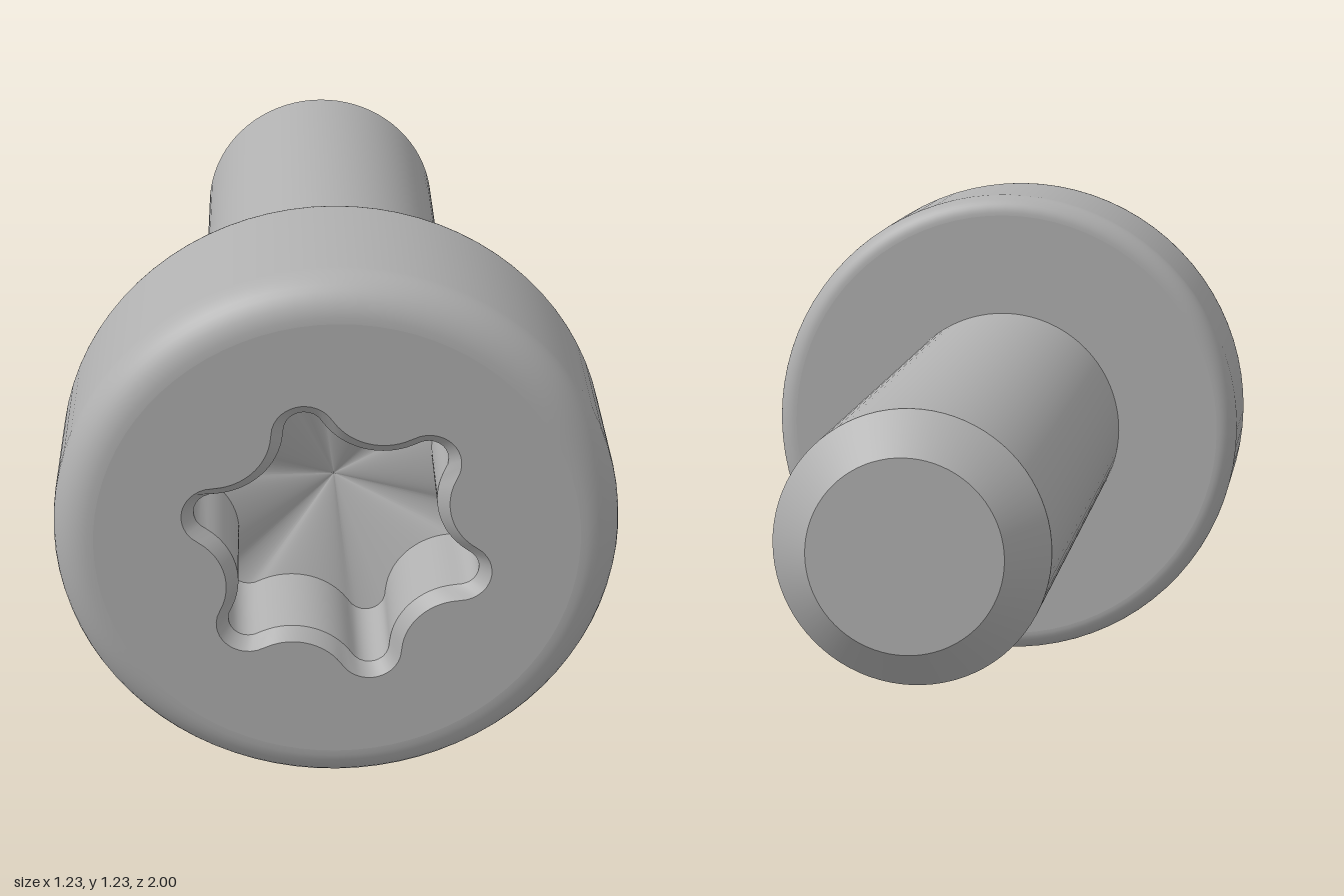
import * as THREE from 'three';

const SEGMENTS = 80;
const AXIS_Y = 0.613;

// Closed six-lobe outline of tangent arcs, shrunk inward by `inset`
function lobeOutline(inset) {
  const a = 0.273, r = 0.07 - inset;          // lobe arcs
  const R = 0.131 + inset, b = 0.384;         // valley arcs
  const k = r / (0.07 + 0.131), half = Math.PI / 6;
  const tx = a + k * (b * Math.cos(half) - a);
  const ty = k * b * Math.sin(half);
  const change = Math.atan2(ty, tx);
  const radius = (phi) => {
    if (phi <= change) {
      return a * Math.cos(phi) + Math.sqrt(Math.max(0, r * r - (a * Math.sin(phi)) ** 2));
    }
    const psi = half - phi;
    return b * Math.cos(psi) - Math.sqrt(Math.max(0, R * R - (b * Math.sin(psi)) ** 2));
  };
  const points = [], perLobe = 32;
  for (let i = 0; i < perLobe * 6; i++) {
    const local = ((i % perLobe) / perLobe) * 2 * half;
    const rad = radius(Math.min(local, 2 * half - local));
    const angle = Math.PI / 4 + (i / perLobe) * 2 * half;
    points.push(new THREE.Vector2(rad * Math.cos(angle), rad * Math.sin(angle)));
  }
  return points;
}

// Inward-facing strip between a front ring and a deeper ring
function band(front, zFront, back, zBack) {
  const n = front.length, position = [], index = [];
  front.forEach((p) => position.push(p.x, p.y, zFront));
  back.forEach((p) => position.push(p.x, p.y, zBack));
  for (let i = 0; i < n; i++) {
    const j = (i + 1) % n;
    index.push(i, j, n + i, j, n + j, n + i);
  }
  const geometry = new THREE.BufferGeometry();
  geometry.setAttribute('position', new THREE.Float32BufferAttribute(position, 3));
  geometry.setIndex(index);
  geometry.computeVertexNormals();
  return geometry;
}

// Surface of revolution about z from [radius, z] pairs, back to front
function turned(profile) {
  const points = profile.map(([r, z]) => new THREE.Vector2(r, z));
  return new THREE.LatheGeometry(points, SEGMENTS).rotateX(Math.PI / 2);
}

// Quarter-round profile points
function fillet(r, z, size, from, to) {
  return Array.from({ length: 11 }, (_, i) => {
    const t = from + (to - from) * i / 10;
    return [r + size * Math.cos(t), z + size * Math.sin(t)];
  });
}

export function createModel() {
  const group = new THREE.Group();
  group.name = 'screw';
  const steel = new THREE.MeshStandardMaterial({ color: 0xb0b0b0 });
  steel.name = 'steel grey';
  const add = (name, geometry) => {
    const mesh = new THREE.Mesh(geometry, steel);
    mesh.name = name;
    mesh.position.y = AXIS_Y;
    group.add(mesh);
  };

  // Head
  const R = 0.613, frontRound = 0.09, backRound = 0.05, headBack = 0.54;
  add('headSide', turned([
    ...fillet(R - backRound, headBack + backRound, backRound, -Math.PI / 2, 0),
    ...fillet(R - frontRound, 1 - frontRound, frontRound, 0, Math.PI / 2),
  ]));
  add('headUnderside', turned([[0.305, headBack], [R - backRound, headBack]]));

  // Front face with the socket opening
  const rim = lobeOutline(0), inner = lobeOutline(0.026);
  const face = new THREE.Shape().absarc(0, 0, R - frontRound, 0, Math.PI * 2);
  face.holes.push(new THREE.Path(rim));
  add('headFace', new THREE.ShapeGeometry(face, SEGMENTS / 2).translate(0, 0, 1));

  // Socket: chamfer, straight wall and shallow conical floor
  const apex = inner.map(() => new THREE.Vector2(0, 0));
  add('socketChamfer', band(rim, 1, inner, 0.974));
  add('socketWall', band(inner, 0.974, inner, 0.75));
  add('socketFloor', band(inner, 0.75, apex, 0.67));

  // Shank with a chamfered end
  add('shank', turned([[0.305, -0.91], [0.305, headBack]]));
  add('shankChamfer', turned([[0.215, -1], [0.305, -0.91]]));
  add('shankEnd', new THREE.CircleGeometry(0.215, SEGMENTS).rotateY(Math.PI).translate(0, 0, -1));

  return group;
}
